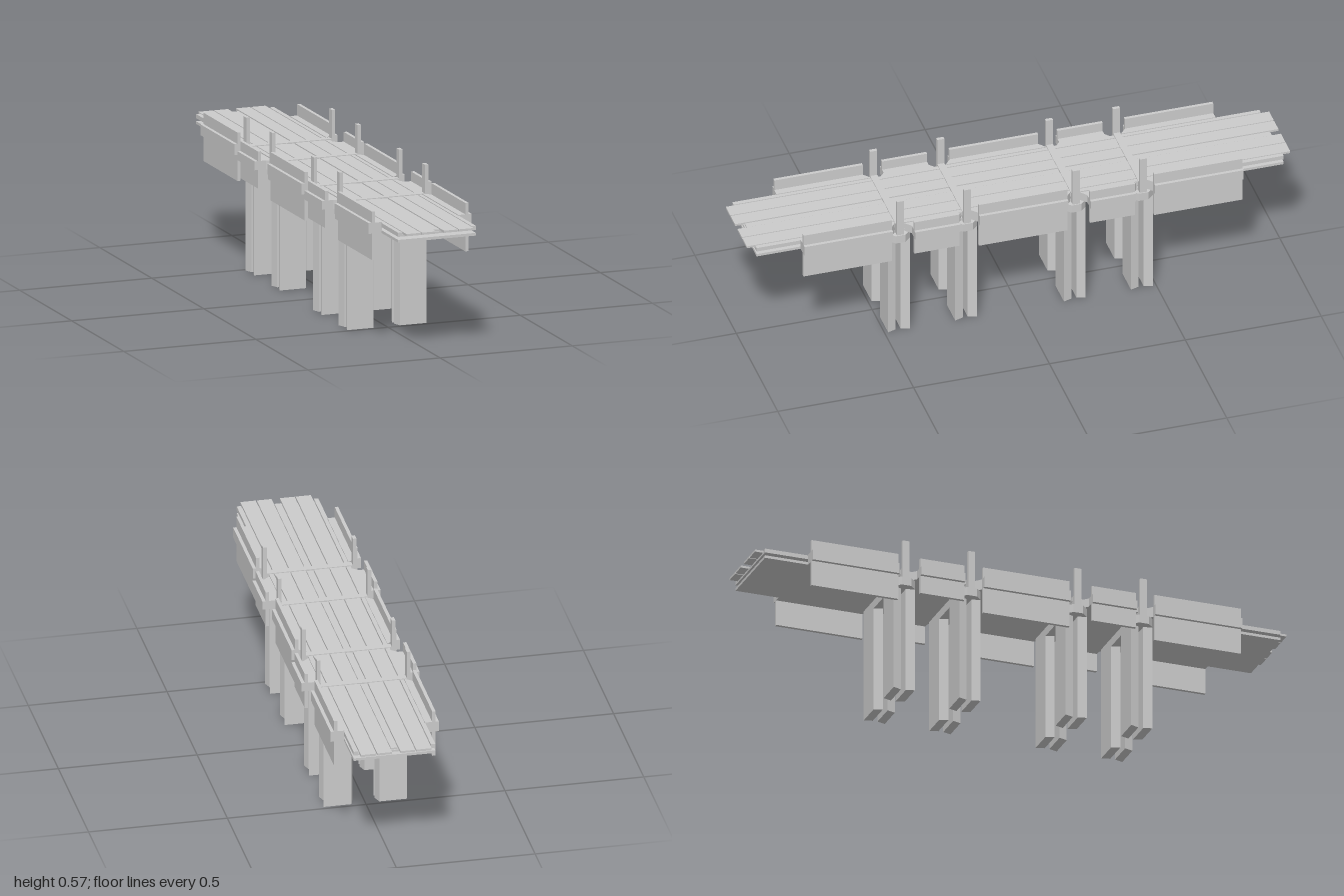
import * as THREE from 'three';

const material = new THREE.MeshStandardMaterial({ color: 0xcccccc, flatShading: true });

export function createModel() {
  const bridge = new THREE.Group();
  bridge.name = 'plankBridge';

  const add = (name, geometry) => {
    const mesh = new THREE.Mesh(geometry, material);
    mesh.name = name;
    bridge.add(mesh);
  };

  // Box from its minimum and maximum corners
  const box = (name, x0, x1, y0, y1, z0, z1) => {
    const g = new THREE.BoxGeometry(x1 - x0, y1 - y0, z1 - z0);
    add(name, g.translate((x0 + x1) / 2, (y0 + y1) / 2, (z0 + z1) / 2));
  };

  // Upright prism with a footprint of [x, z] corners
  const prism = (name, corners, y0, y1) => {
    const shape = new THREE.Shape(corners.map(([x, z]) => new THREE.Vector2(x, -z)));
    const g = new THREE.ExtrudeGeometry(shape, { depth: y1 - y0, bevelEnabled: false });
    add(name, g.rotateX(-Math.PI / 2).translate(0, y0, 0));
  };

  // Deck: lower plate, upper plate and the boards on top
  box('lowerDeck', -0.147, 0.147, 0.423, 0.433, -0.97, 0.97);
  box('upperDeck', -0.147, 0.147, 0.444, 0.451, -0.97, 0.97);
  for (const s of [-1, 1]) {
    for (const [a, b, end] of [[0.015, 0.068, 1], [0.072, 0.127, 1], [0.131, 0.147, 0.97]]) {
      box('deckBoard', Math.min(s * a, s * b), Math.max(s * a, s * b), 0.451, 0.459, -end, end);
    }
  }
  box('middleBoard', -0.012, 0.012, 0.451, 0.457, -0.965, 0.965);

  // Trestles: cross beams, posts and paired leg slabs
  for (const z of [-0.447, -0.2, 0.2, 0.447]) {
    prism('crossBeam', [
      [-0.172, z - 0.018], [-0.15, z - 0.04], [0.15, z - 0.04], [0.172, z - 0.018],
      [0.172, z + 0.018], [0.15, z + 0.04], [-0.15, z + 0.04], [-0.172, z + 0.018],
    ], 0.392, 0.423);
    box('crossBar', -0.165, 0.165, 0.423, 0.462, z - 0.013, z + 0.013);
    for (const s of [-1, 1]) {
      const x = s * 0.1615;
      box('post', x - 0.0065, x + 0.0065, 0.42, 0.566, z - 0.013, z + 0.013);
      for (const t of [-1, 1]) {
        const outer = z + t * 0.04, inner = z + t * 0.009;
        prism('leg', [
          [s * 0.05, outer], [s * 0.15, outer], [s * 0.14, inner], [s * 0.04, inner],
        ], 0, 0.423);
      }
    }
  }

  // Side panels on rails with tapered inner ends; short ones stand further out
  const bays = [
    { z: 0.645, half: 0.163, x: 0.171, low: 0.328, high: 0.503, top: 0.462 },
    { z: 0.323, half: 0.083, x: 0.189, low: 0.356, high: 0.49, top: 0.455 },
    { z: 0, half: 0.163, x: 0.171, low: 0.328, high: 0.503, top: 0.462 },
    { z: -0.323, half: 0.083, x: 0.189, low: 0.356, high: 0.49, top: 0.455 },
    { z: -0.645, half: 0.163, x: 0.171, low: 0.328, high: 0.503, top: 0.462 },
  ];
  for (const { z, half, x, low, high, top } of bays) {
    // Only ends that meet a trestle are tapered
    const front = z > 0.5 ? 0 : 0.022, back = z < -0.5 ? 0 : 0.022;
    for (const s of [-1, 1]) {
      const xc = s * (x + 0.006);
      box('sidePanel', xc - 0.006, xc + 0.006, low, high, z - half, z + half);
      prism('sideRail', [
        [s * 0.145, z - half - back], [s * 0.17, z - half], [s * (x + 0.024), z - half],
        [s * (x + 0.024), z + half], [s * 0.17, z + half], [s * 0.145, z + half + front],
      ], 0.423, top);
    }
  }

  return bridge;
}
